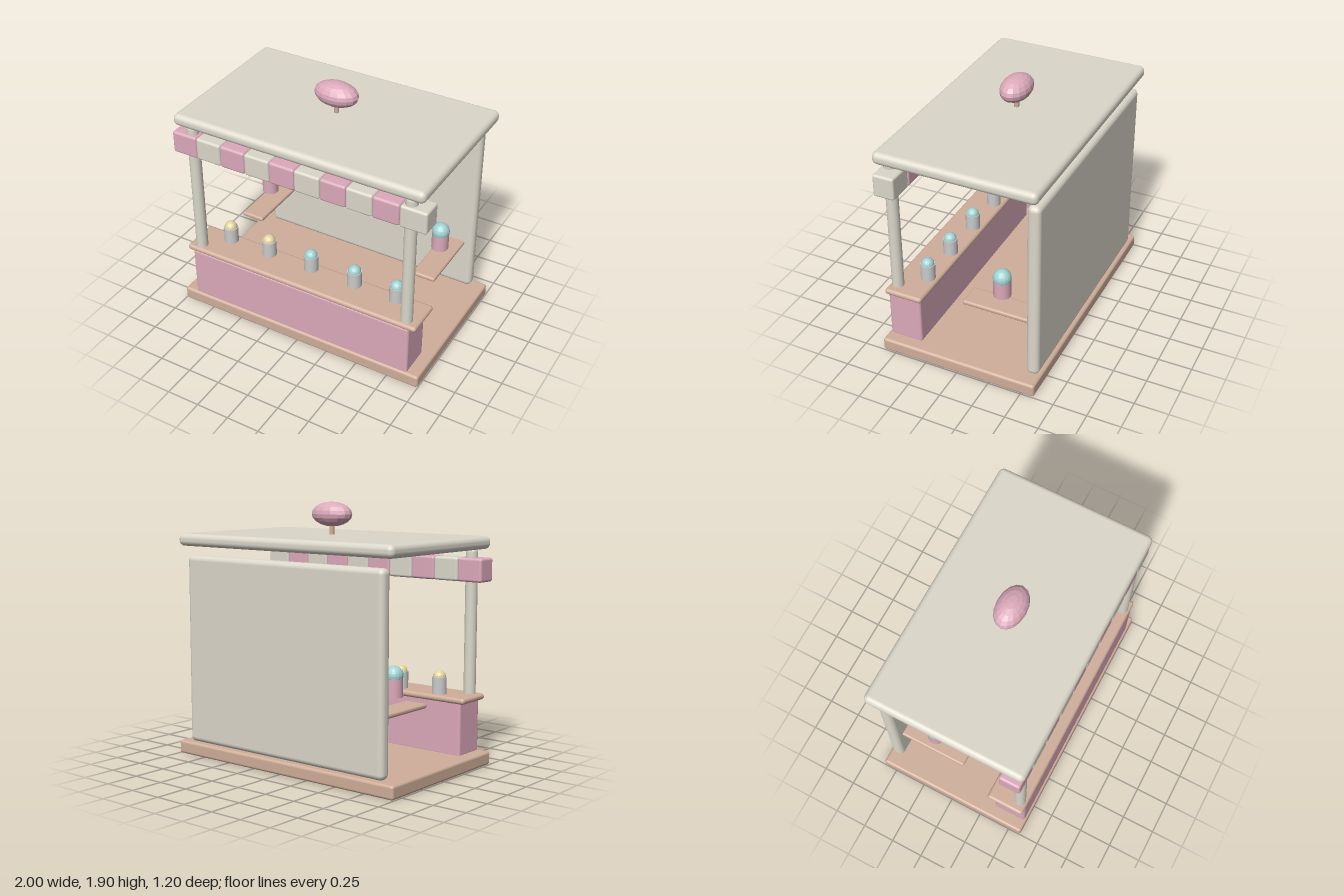
import * as THREE from 'three';
import { RoundedBoxGeometry } from 'three/addons/geometries/RoundedBoxGeometry.js';

const paint = (color, flatShading = false) => new THREE.MeshStandardMaterial({ color, flatShading });
const pink = paint(0xdcaabb);
const cream = paint(0xdbd7ca);
const wood = paint(0xd0ae9a);
const white = paint(0xdedede);
const pinkFacet = paint(0xdcaabb, true);
const tealFacet = paint(0xa3d3d3, true);
const yellowFacet = paint(0xe6d5a2, true);

export function createModel() {
  const model = new THREE.Group();
  model.name = 'marketStall';

  const add = (parent, name, geometry, material, x, y, z) => {
    const mesh = new THREE.Mesh(geometry, material);
    mesh.name = name;
    mesh.position.set(x, y, z);
    parent.add(mesh);
    return mesh;
  };

  // Rounded slab given by its extents along each axis
  const slab = (name, material, [x0, x1], [y0, y1], [z0, z1], radius) =>
    add(model, name, new RoundedBoxGeometry(x1 - x0, y1 - y0, z1 - z0, 4, radius), material,
      (x0 + x1) / 2, (y0 + y1) / 2, (z0 + z1) / 2);

  // Tub with a domed scoop on top
  const treat = (name, x, y, z, radius, height, scoopRadius, scoopY, tubMaterial, scoopMaterial) => {
    const group = new THREE.Group();
    group.name = name;
    group.position.set(x, y, z);
    add(group, 'tub', new THREE.CylinderGeometry(radius, radius, height, 16), tubMaterial, 0, height / 2, 0);
    add(group, 'scoop', new THREE.SphereGeometry(scoopRadius, 16, 12), scoopMaterial, 0, scoopY, 0);
    model.add(group);
  };

  // Floor, back wall and roof
  slab('floor', wood, [-1, 1], [0, 0.1], [-0.6, 0.6], 0.02);
  slab('backWall', cream, [-0.9, 0.9], [0.105, 1.505], [-0.585, -0.49], 0.04);
  slab('roof', cream, [-0.98, 0.98], [1.57, 1.662], [-0.6, 0.6], 0.04);

  // Counter
  slab('counter', pink, [-0.905, 0.905], [0.085, 0.495], [0.33, 0.585], 0.02);
  slab('counterTop', wood, [-0.955, 0.955], [0.48, 0.525], [0.295, 0.585], 0.022);

  // Front posts, and side shelves with a large treat above each
  for (const side of [-1, 1]) {
    add(model, 'frontPost', new THREE.CapsuleGeometry(0.044, 1.4, 6, 20), cream, side * 0.86, 0.845, 0.525);
    const x = side * 0.74;
    slab('sideShelf', wood, [x - 0.09, x + 0.09], [0.488, 0.523], [-0.51, 0.03], 0.015);
    treat('shelfTreat', x, 0.603, -0.24, 0.063, 0.13, 0.066, 0.148, pink, tealFacet);
  }

  // Striped awning
  for (let i = 0; i < 10; i++) {
    const x = -1 + i * 0.2;
    slab('awningStripe', i % 2 ? cream : pink, [x, x + 0.2], [1.34, 1.51], [0.425, 0.585], 0.018);
  }

  // Row of small treats on the counter
  [-0.7, -0.36, 0, 0.36, 0.7].forEach((x, i) =>
    treat('counterTreat', x, 0.523, 0.37, 0.054, 0.125, 0.048, 0.124, white, i < 2 ? yellowFacet : tealFacet));

  // Roof ornament
  add(model, 'ornamentStem', new THREE.CylinderGeometry(0.018, 0.018, 0.12, 12), wood, 0, 1.7, 0);
  add(model, 'ornament', new THREE.SphereGeometry(1, 16, 10), pinkFacet, 0, 1.81, 0)
    .scale.set(0.168, 0.089, 0.108);

  return model;
}
